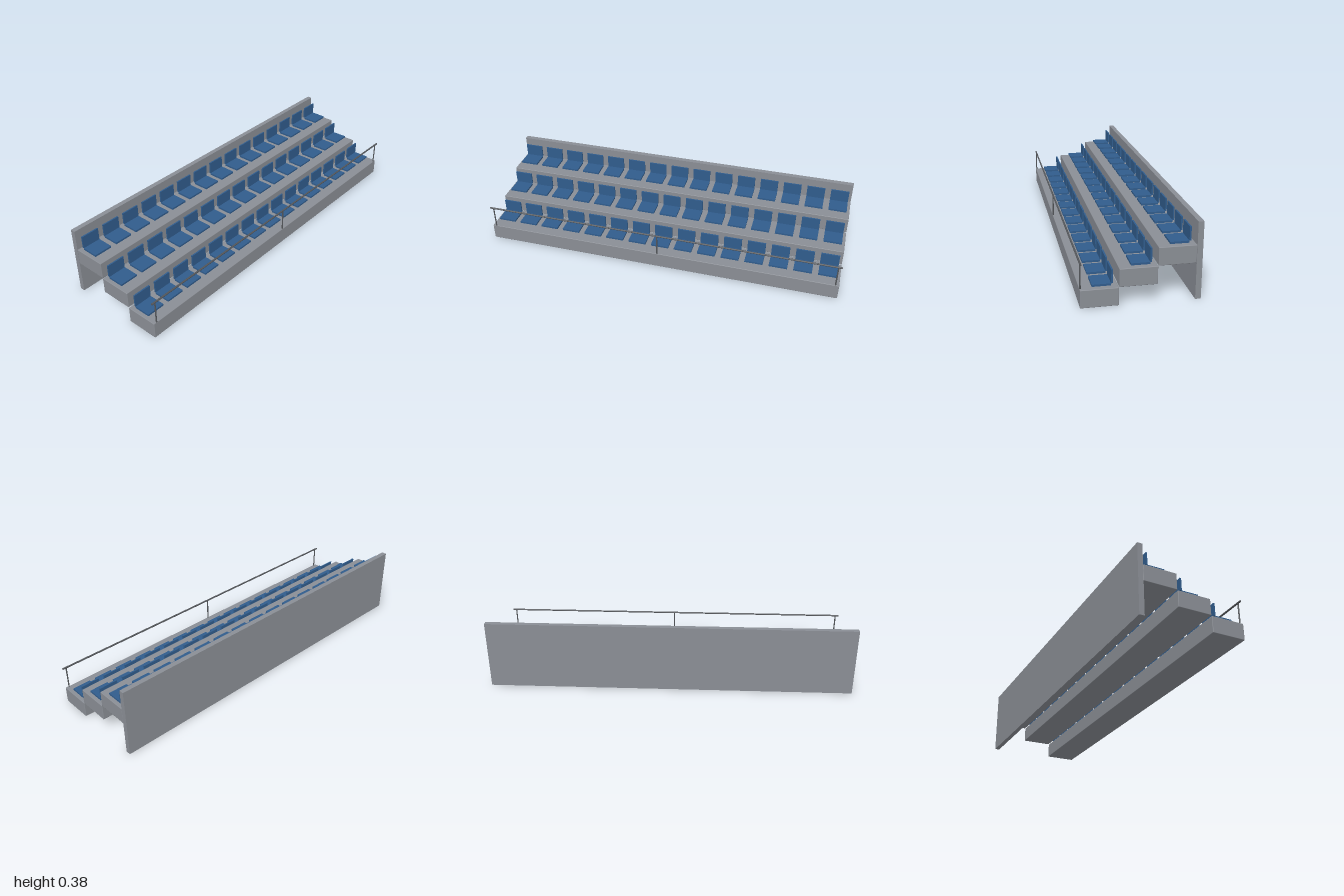
import * as THREE from 'three';
import { RoundedBoxGeometry } from 'three/addons/geometries/RoundedBoxGeometry.js';

const material = (name, color) => {
  const m = new THREE.MeshStandardMaterial({ color });
  m.name = name;
  return m;
};

export function createModel() {
  const concrete = material('concrete', 0x8a8e95);
  const seatBlue = material('seatBlue', 0x305c8c);
  const railMetal = material('railMetal', 0x55585c);

  const model = new THREE.Group();
  model.name = 'grandstand';

  const add = (parent, name, geometry, mat, x, y, z) => {
    const mesh = new THREE.Mesh(geometry, mat);
    mesh.name = name;
    mesh.position.set(x, y, z);
    parent.add(mesh);
    return mesh;
  };

  const ROWS = 3, SEATS = 15;
  const rise = 0.0892, run = 0.1783, pitch = 2 / SEATS;

  const stepGeometry = new RoundedBoxGeometry(2, 0.088, 0.177, 2, 0.003);
  const panGeometry = new THREE.BoxGeometry(0.1, 0.01, 0.089);
  const backGeometry = new THREE.BoxGeometry(0.1, 0.067, 0.008);

  // Terraced steps, each with a row of seats
  for (let r = 0; r < ROWS; r++) {
    const row = new THREE.Group();
    row.name = `row${r + 1}`;
    row.position.set(0, r * rise, -r * run);
    add(row, 'step', stepGeometry, concrete, 0, 0.045, 0.1915);
    for (let i = 0; i < SEATS; i++) {
      const seat = new THREE.Group();
      seat.name = 'seat';
      seat.position.x = (i - (SEATS - 1) / 2) * pitch;
      add(seat, 'seatPan', panGeometry, seatBlue, 0, 0.1, 0.1805);
      add(seat, 'seatBack', backGeometry, seatBlue, 0, 0.1385, 0.132);
      row.add(seat);
    }
    model.add(row);
  }

  // Rear wall
  add(model, 'backWall', new THREE.BoxGeometry(2, 0.378, 0.027), concrete, 0, 0.189, -0.267);

  // Front guard rail
  const guard = new THREE.Group();
  guard.name = 'guardRail';
  const railGeometry = new THREE.CylinderGeometry(0.0048, 0.0048, 2, 8).rotateZ(Math.PI / 2);
  add(guard, 'handrail', railGeometry, railMetal, 0, 0.212, 0.2765);
  const postGeometry = new THREE.CylinderGeometry(0.0036, 0.0036, 0.123, 8);
  for (const x of [-0.98, 0, 0.98]) add(guard, 'post', postGeometry, railMetal, x, 0.1505, 0.2765);
  model.add(guard);

  return model;
}
